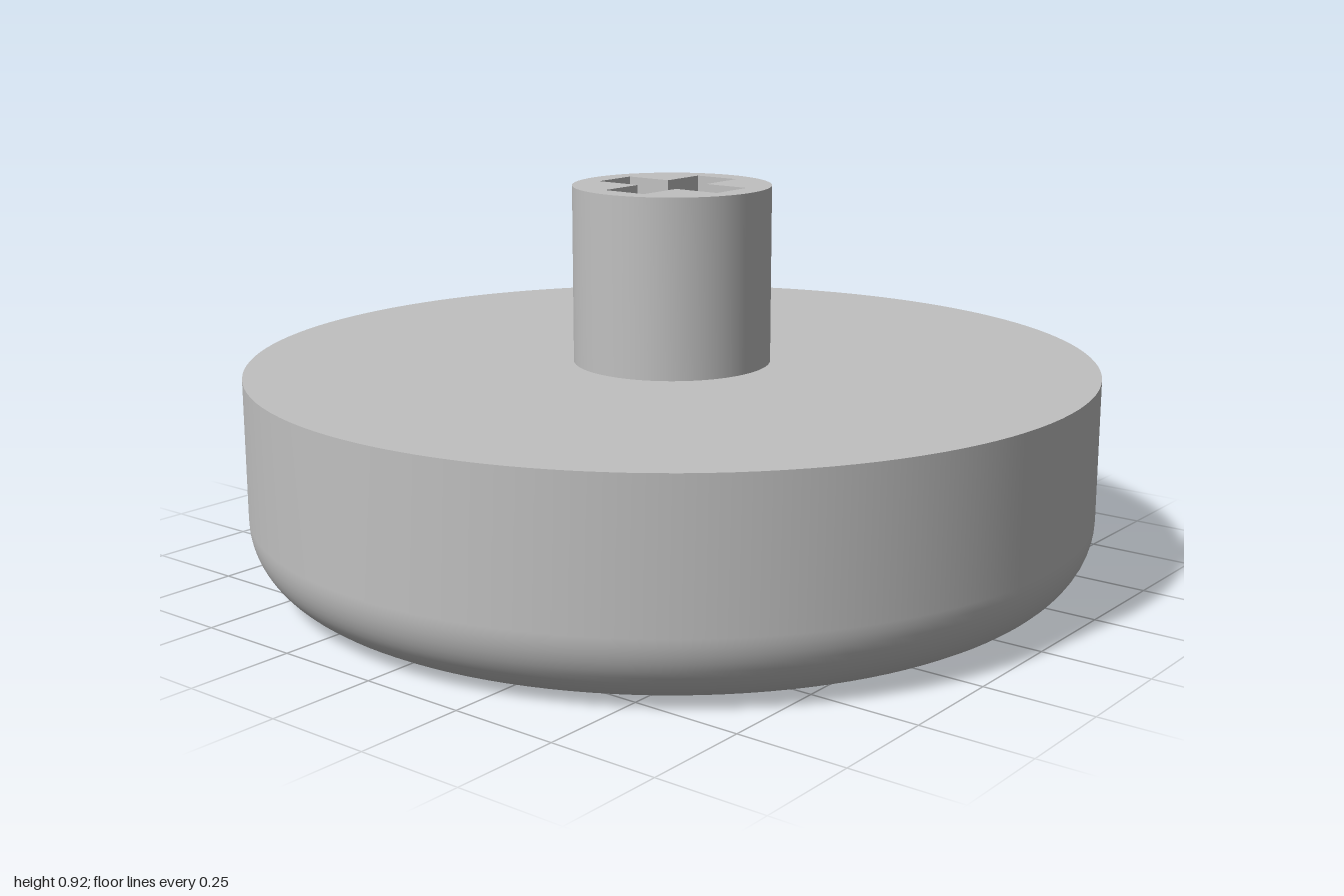
import * as THREE from 'three';
import { toCreasedNormals } from 'three/addons/utils/BufferGeometryUtils.js';

const RADIUS = 1, RIM_Y = 0.5, FILLET = 0.17, RECESS = 0.05;
const STEM_R = 0.233, STEM_TOP = 0.917, ARM = 0.174, HALF = 0.057;
const rad = THREE.MathUtils.degToRad;

const polygon = (points) => new THREE.Shape(points.map(([x, z]) => new THREE.Vector2(x, z)));

function disc(radius) {
  return new THREE.Shape().absarc(0, 0, radius, 0, Math.PI * 2, false);
}

// Extrudes a plan drawn in x and z upward between two heights
function slab(shape, bottom, top) {
  const geometry = new THREE.ExtrudeGeometry(shape, {
    depth: top - bottom, bevelEnabled: false, curveSegments: 64,
  });
  geometry.rotateX(Math.PI / 2).translate(0, top, 0);
  return toCreasedNormals(geometry, 0.5);
}

export function createModel() {
  const group = new THREE.Group();
  const grey = new THREE.MeshStandardMaterial({ color: 0xc0c0c0 });
  grey.name = 'grey';
  const add = (name, geometry) => {
    const mesh = new THREE.Mesh(geometry, grey);
    mesh.name = name;
    group.add(mesh);
  };

  // Round side wall with a rolled lower edge
  const profile = [];
  for (let i = 0; i <= 14; i++) {
    const a = (i / 14) * Math.PI / 2;
    profile.push(new THREE.Vector2(
      RADIUS - FILLET + FILLET * Math.sin(a), FILLET - FILLET * Math.cos(a)));
  }
  profile.push(new THREE.Vector2(RADIUS, RIM_Y));
  add('sideWall', new THREE.LatheGeometry(profile, 128));

  // Flat upper face, which also closes the bottom of the socket
  add('upperFace', new THREE.CircleGeometry(RADIUS, 128).rotateX(-Math.PI / 2).translate(0, RIM_Y, 0));

  // Sunken triangle and open ring on the underside
  const triangle = polygon([[0.178, 0], [0.577, -0.223], [0.577, 0.223]]);
  const openRing = new THREE.Shape();
  openRing.absarc(-0.22, 0, 0.335, rad(28), rad(332), false);
  openRing.absarc(-0.22, 0, 0.208, rad(325), rad(35), true);
  openRing.closePath();

  const underside = disc(RADIUS - FILLET);
  underside.holes.push(triangle, openRing);
  add('underside', slab(underside, 0, RECESS));

  for (const [name, shape] of [['triangleRecessFloor', triangle], ['ringRecessFloor', openRing]]) {
    add(name, new THREE.ShapeGeometry(shape, 64).rotateX(Math.PI / 2).translate(0, RECESS, 0));
  }

  // Stem with a cross-shaped socket
  const stem = disc(STEM_R);
  stem.holes.push(polygon([
    [ARM, HALF], [HALF, HALF], [HALF, ARM], [-HALF, ARM], [-HALF, HALF], [-ARM, HALF],
    [-ARM, -HALF], [-HALF, -HALF], [-HALF, -ARM], [HALF, -ARM], [HALF, -HALF], [ARM, -HALF],
  ]));
  add('stem', slab(stem, RIM_Y, STEM_TOP));

  return group;
}
